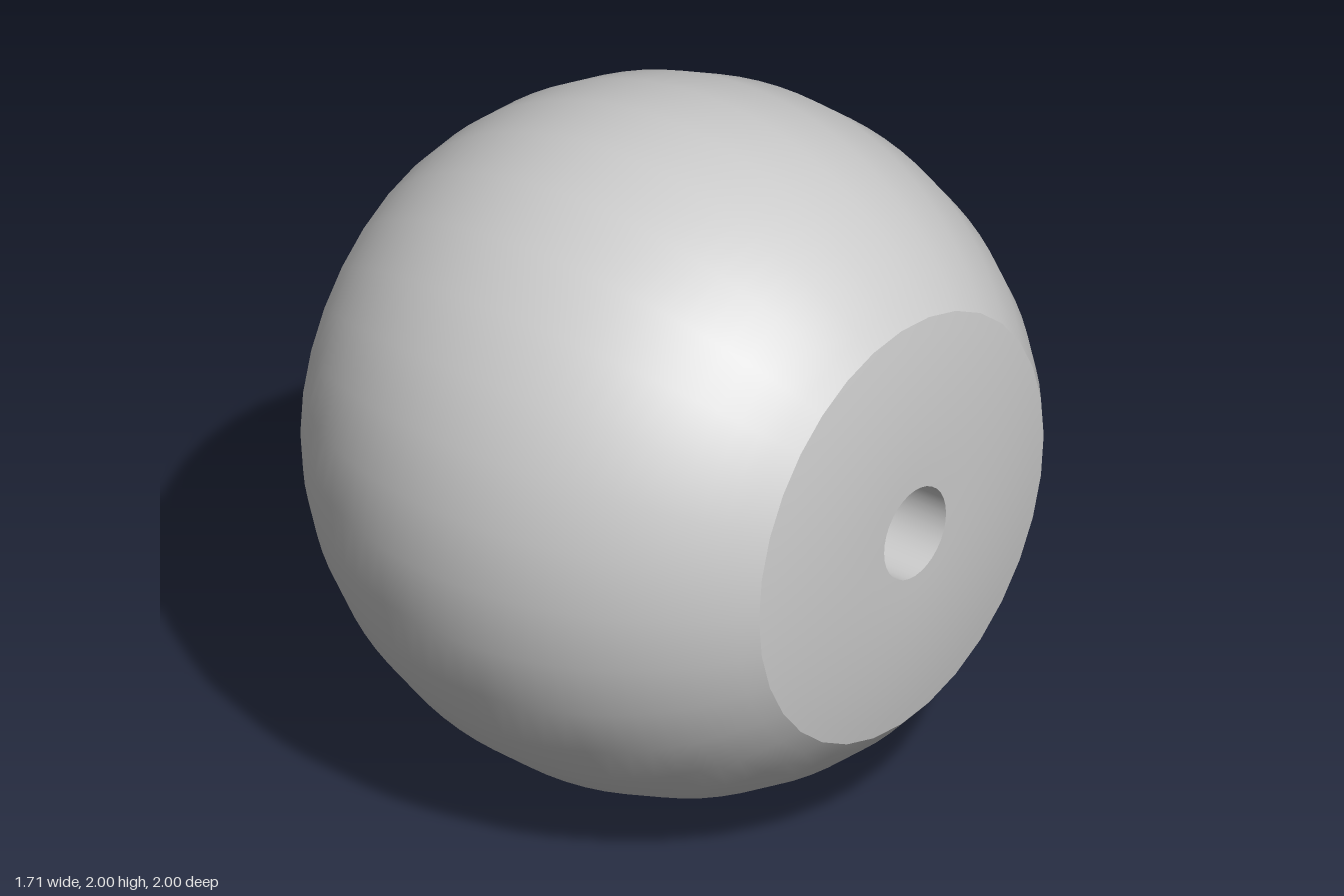
import * as THREE from 'three';

const SIDES = 32;
const HOLE = 0.137, RIM = 0.63, RIM_X = 0.805, CAP_X = 0.853;

// Samples a profile: fn(t) gives [radius, position along the axis]
function profile(fn, steps) {
  return Array.from({ length: steps + 1 }, (_, i) => new THREE.Vector2(...fn(i / steps)));
}

export function createModel() {
  const group = new THREE.Group();
  group.name = 'bead';
  const material = new THREE.MeshStandardMaterial({ color: 0xcccccc });

  // Each section is its own lathe, so the rims between them stay sharp
  function addLathe(name, points) {
    const geometry = new THREE.LatheGeometry(points, SIDES);
    geometry.rotateZ(-Math.PI / 2); // lay the axis along x
    const mesh = new THREE.Mesh(geometry, material);
    mesh.name = name;
    mesh.position.y = 1;
    group.add(mesh);
  }

  // Bulging outer wall, an elliptical arc between the two rims
  const end = Math.acos(RIM);
  const halfLength = RIM_X / Math.sin(end);
  addLathe('outerWall', profile((t) => {
    const a = (t * 2 - 1) * end;
    return [Math.cos(a), Math.sin(a) * halfLength];
  }, 28));

  // Slightly domed end faces, from the rim in to the hole
  const capX = (r) => CAP_X - (CAP_X - RIM_X) * ((r - HOLE) / (RIM - HOLE)) ** 2;
  const cap = profile((t) => {
    const r = RIM + (HOLE - RIM) * t;
    return [r, capX(r)];
  }, 10);
  addLathe('leftEndFace', cap);
  addLathe('rightEndFace', cap.map((p) => new THREE.Vector2(p.x, -p.y)).reverse());

  // Through hole, facing inward
  addLathe('hole', profile((t) => [HOLE, CAP_X * (1 - 2 * t)], 1));

  return group;
}
